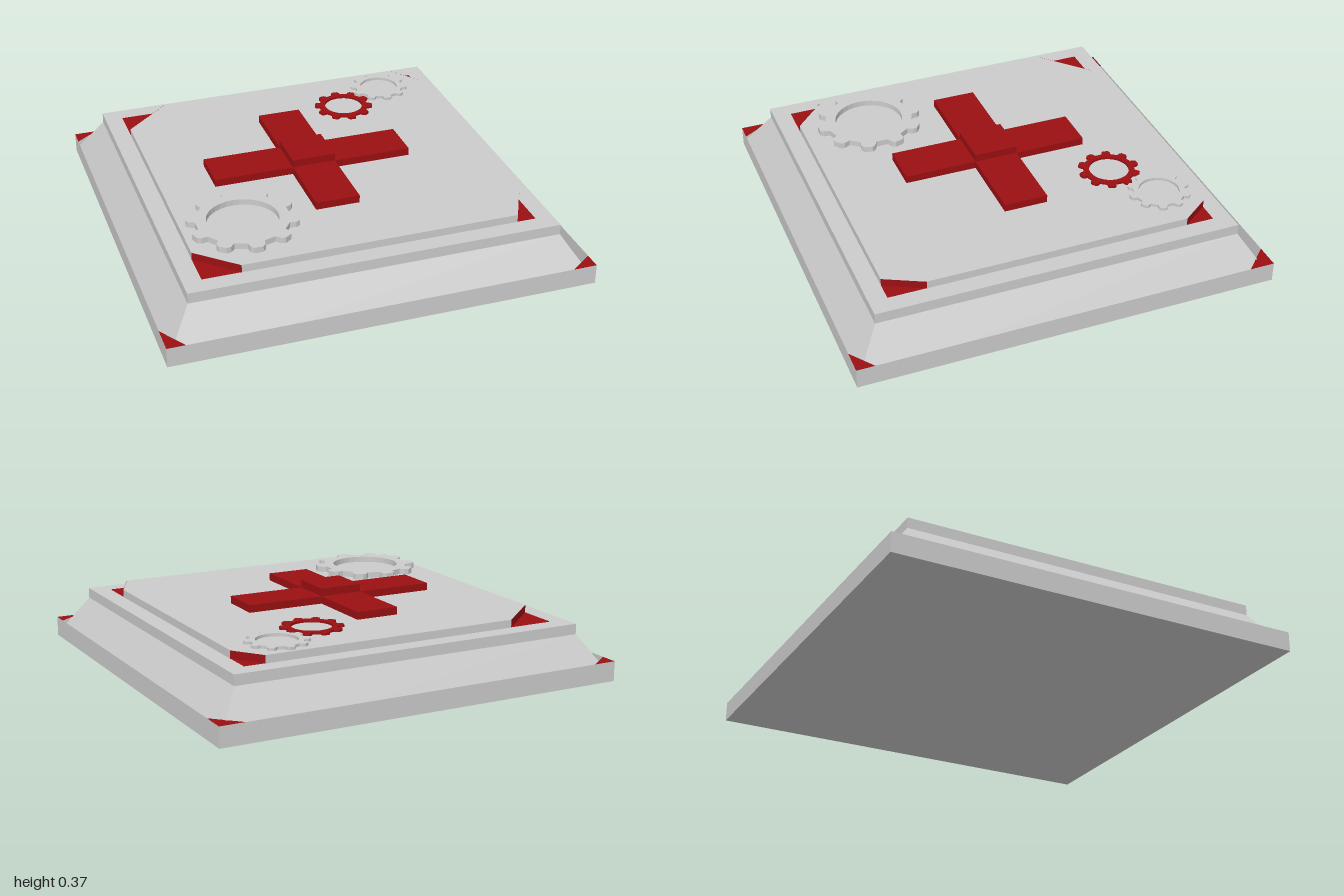
import * as THREE from 'three';

const GREY = 0xcccccc, RED = 0x9a0f12;

function material(color, side = THREE.FrontSide) {
  return new THREE.MeshStandardMaterial({ color, side, flatShading: true });
}

function add(parent, name, geometry, color, side) {
  const mesh = new THREE.Mesh(geometry, material(color, side));
  mesh.name = name;
  parent.add(mesh);
  return mesh;
}

// Box given by its limits on each axis
function block(parent, name, [x0, x1], [y0, y1], [z0, z1], color) {
  const mesh = add(parent, name, new THREE.BoxGeometry(x1 - x0, y1 - y0, z1 - z0), color);
  mesh.position.set((x0 + x1) / 2, (y0 + y1) / 2, (z0 + z1) / 2);
}

// Open four-sided skirt from half width a at y0 to half width b at y1
function skirt(parent, name, a, b, y0, y1, side) {
  const geo = new THREE.CylinderGeometry(b * Math.SQRT2, a * Math.SQRT2, y1 - y0, 4, 1, true);
  geo.rotateY(Math.PI / 4);
  geo.translate(0, (y0 + y1) / 2, 0);
  add(parent, name, geo, GREY, side);
}

// Flat outline of [x, z] points, extruded upward from y0 to y1
function slab(points, y0, y1, hole) {
  const shape = new THREE.Shape(points.map(([x, z]) => new THREE.Vector2(x, -z)));
  if (hole) shape.holes.push(new THREE.Path().absarc(0, 0, hole, 0, Math.PI * 2, true));
  const geo = new THREE.ExtrudeGeometry(shape, { depth: y1 - y0, bevelEnabled: false, curveSegments: 16 });
  geo.rotateX(-Math.PI / 2);
  geo.translate(0, y0, 0);
  return geo;
}

// Horizontal triangle in a corner of a square of half width h
function cornerTriangle(parent, name, h, y, [sx, sz, dx, dz]) {
  const shape = new THREE.Shape([
    new THREE.Vector2(sx * h, -sz * h),
    new THREE.Vector2(sx * (h - dx), -sz * h),
    new THREE.Vector2(sx * h, -sz * (h - dz)),
  ]);
  const geo = new THREE.ShapeGeometry(shape);
  geo.rotateX(-Math.PI / 2);
  geo.translate(0, y, 0);
  add(parent, name, geo, RED, THREE.DoubleSide);
}

// Ring gear with ten tapered teeth
function gear(parent, name, x, z, outer, root, hole, top, color) {
  const points = [], teeth = 10;
  for (let i = 0; i < teeth; i++) {
    const mid = Math.PI / 2 + (i / teeth) * Math.PI * 2;
    for (const [offset, r] of [[-0.18, root], [-0.14, outer * 0.95], [-0.08, outer], [0.08, outer], [0.14, outer * 0.95], [0.18, root]]) {
      points.push([r * Math.cos(mid + offset), -r * Math.sin(mid + offset)]);
    }
  }
  const mesh = add(parent, name, slab(points, PLATE_TOP, top, hole), color);
  mesh.position.set(x, 0, z);
}

const RIM_TOP = 0.095, DECK_TOP = 0.26, PLATE_TOP = 0.297, PLATE = 0.785;

export function createModel() {
  const model = new THREE.Group();

  // Base: floor, upright rim and sloping sides
  const floor = new THREE.PlaneGeometry(2, 2);
  floor.rotateX(Math.PI / 2);
  add(model, 'baseFloor', floor, GREY, THREE.DoubleSide);
  skirt(model, 'baseRim', 1, 1, 0, RIM_TOP, THREE.DoubleSide);
  skirt(model, 'slopingSides', 1, 0.87, 0.01, 0.21);
  block(model, 'deck', [-0.87, 0.87], [0.21, DECK_TOP], [-0.87, 0.87], GREY);

  // Red corner pieces of the rim: sign x, sign z, length along x, length along z
  for (const c of [[-1, -1, 0.11, 0.085], [1, -1, 0.12, 0.12], [-1, 1, 0.085, 0.135], [1, 1, 0.115, 0.085]]) {
    cornerTriangle(model, 'rimCorner', 1, RIM_TOP, c);
  }

  // Top plate with uneven cut corners, listed around the outline
  const cuts = [[-1, 1, 0.18, 0.165], [1, 1, 0.09, 0.18], [1, -1, 0.1, 0.135], [-1, -1, 0.22, 0.2]];
  const outline = [];
  for (const c of cuts) {
    const [sx, sz, dx, dz] = c;
    const ends = [[sx * PLATE, sz * (PLATE - dz)], [sx * (PLATE - dx), sz * PLATE]];
    outline.push(...(sx * sz < 0 ? ends : [...ends].reverse()));

    // Red floor and wall of each cut
    cornerTriangle(model, 'plateCornerFloor', PLATE, DECK_TOP + 0.001, c);
    const length = Math.hypot(dx, dz);
    const wall = add(model, 'plateCornerWall', new THREE.PlaneGeometry(length, PLATE_TOP - DECK_TOP), RED, THREE.DoubleSide);
    const nx = (sx * dz) / length, nz = (sz * dx) / length;
    wall.rotation.y = Math.atan2(nx, nz);
    wall.position.set(sx * (PLATE - dx / 2) + nx * 0.001, (DECK_TOP + PLATE_TOP) / 2, sz * (PLATE - dz / 2) + nz * 0.001);
  }
  add(model, 'topPlate', slab(outline, DECK_TOP, PLATE_TOP), GREY);

  // Raised cross: four arms around a taller centre
  const cross = new THREE.Group();
  cross.name = 'cross';
  const armY = [PLATE_TOP, 0.333], midX = [-0.155, 0.055], midZ = [-0.107, 0.103];
  block(cross, 'leftArm', [0.055, 0.433], armY, midZ, RED);
  block(cross, 'rightArm', [-0.535, -0.155], armY, midZ, RED);
  block(cross, 'backArm', midX, armY, [-0.455, -0.107], RED);
  block(cross, 'frontArm', midX, armY, [0.103, 0.45], RED);
  block(cross, 'centreBlock', midX, [PLATE_TOP, 0.37], midZ, RED);
  model.add(cross);

  // Gears lying on the plate
  gear(model, 'largeGear', -0.505, 0.457, 0.257, 0.215, 0.165, 0.325, GREY);
  gear(model, 'redGear', 0.305, -0.48, 0.147, 0.122, 0.095, 0.308, RED);
  gear(model, 'smallGear', 0.55, -0.623, 0.147, 0.122, 0.095, 0.311, GREY);

  return model;
}
